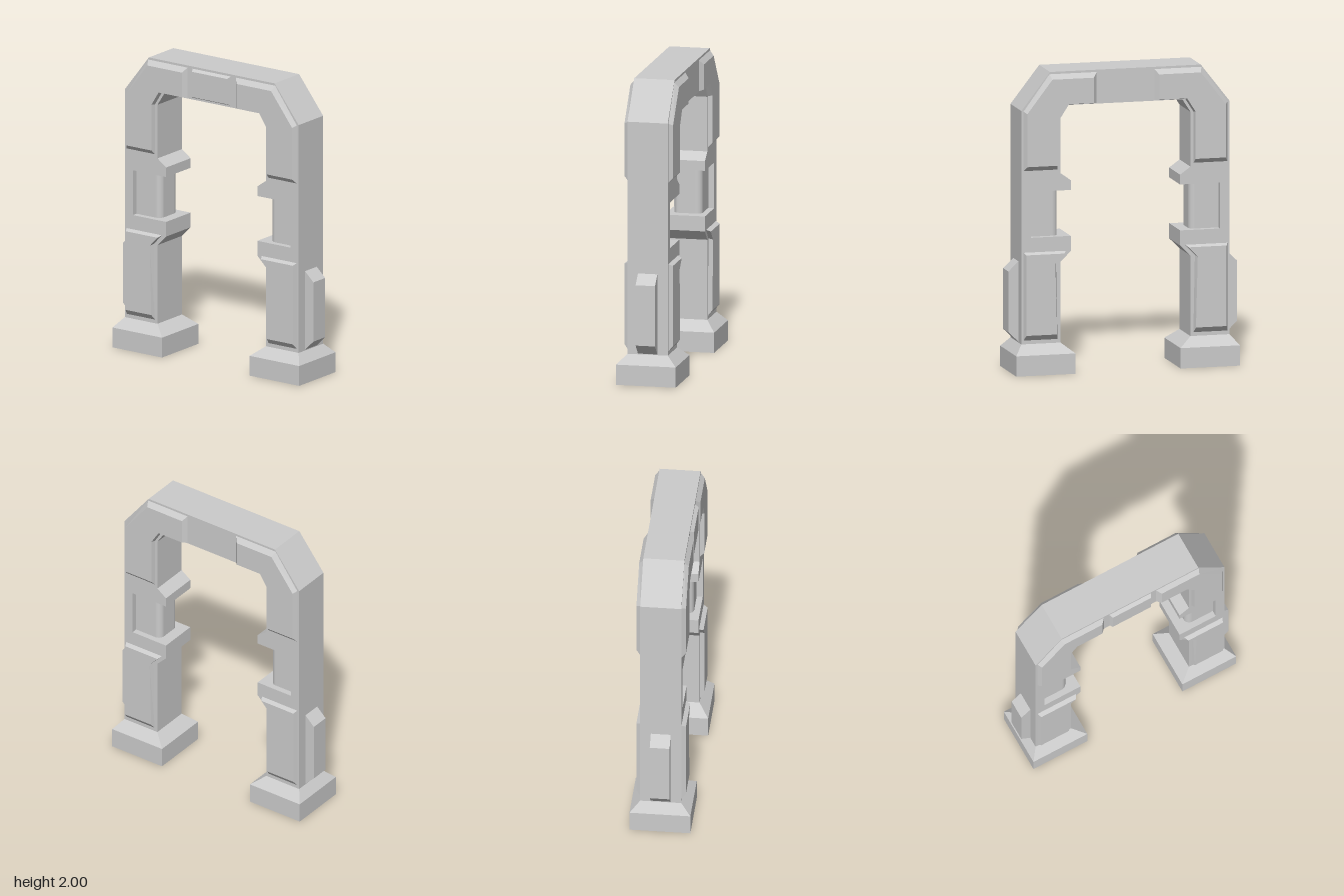
import * as THREE from 'three';

const material = new THREE.MeshStandardMaterial({ color: 0xcccccc, flatShading: true });
const smooth = new THREE.MeshStandardMaterial({ color: 0xcccccc });

// Solid between two matching outlines [x, y], at depths z0 and z1
function prism(outline0, outline1, z0, z1) {
  let a = outline0.map(p => new THREE.Vector2(...p));
  let b = outline1.map(p => new THREE.Vector2(...p));
  if (THREE.ShapeUtils.area(a) < 0) { a.reverse(); b.reverse(); }
  const n = a.length, pos = [], index = [];
  a.forEach(p => pos.push(p.x, p.y, z0));
  b.forEach(p => pos.push(p.x, p.y, z1));
  for (const [i, j, k] of THREE.ShapeUtils.triangulateShape(b, [])) {
    index.push(n + i, n + j, n + k, k, j, i);
  }
  for (let i = 0; i < n; i++) {
    const j = (i + 1) % n;
    index.push(i, j, n + j, i, n + j, n + i);
  }
  const indexed = new THREE.BufferGeometry();
  indexed.setAttribute('position', new THREE.Float32BufferAttribute(pos, 3));
  indexed.setIndex(index);
  const geometry = indexed.toNonIndexed();
  geometry.computeVertexNormals();
  return geometry;
}

const mirrorX = pts => pts.map(([x, y]) => [-x, y]);
const rect = (x0, y0, x1, y1) => [[x0, y0], [x1, y0], [x1, y1], [x0, y1]];

function add(parent, name, geometry, mat = material) {
  const mesh = new THREE.Mesh(geometry, mat);
  mesh.name = name;
  parent.add(mesh);
  return mesh;
}

const DEPTH = 0.135;  // half depth of the arch
const PANEL = 0.163;  // height of the raised panels

// Half outline of the arch, from the top down the outside and up the inside
const archHalf = [
  [0.51, 2], [0.705, 1.75], [0.705, 0.2], [0.44, 0.2], [0.44, 0.735],
  [0.37, 0.805], [0.37, 0.905], [0.64, 0.905], [0.64, 1.21], [0.37, 1.21],
  [0.37, 1.275], [0.44, 1.325], [0.44, 1.69], [0.385, 1.775],
];

// Raised panels: [name, outline at the base, outline of the face]
const panels = [
  ['cornerPanel',
    [[0.69, 1.35], [0.69, 1.745], [0.515, 1.985], [0.195, 1.985], [0.195, 1.778],
      [0.405, 1.778], [0.46, 1.69], [0.46, 1.35]],
    [[0.672, 1.38], [0.672, 1.732], [0.502, 1.953], [0.222, 1.953], [0.222, 1.785],
      [0.41, 1.785], [0.467, 1.695], [0.467, 1.38]]],
  ['legPanel',
    [[0.69, 0.225], [0.69, 0.808], [0.405, 0.808], [0.47, 0.738], [0.46, 0.225]],
    [[0.678, 0.26], [0.678, 0.795], [0.42, 0.795], [0.482, 0.73], [0.47, 0.26]]],
];

function createLeg() {
  const leg = new THREE.Group();

  // Block foot with sloped shoulders
  const block = rect(0.355, -0.2, 0.757, 0.2);
  add(leg, 'foot', prism(block, block, 0, 0.135).rotateX(-Math.PI / 2));
  add(leg, 'footShoulder',
    prism(block, rect(0.44, -DEPTH, 0.705, DEPTH), 0.135, 0.2).rotateX(-Math.PI / 2));

  // Recessed core in the notch, rounded towards the opening
  const core = new THREE.Shape();
  const r = 0.04, d = 0.095;
  core.moveTo(0.65, -d);
  core.lineTo(0.65, d);
  core.lineTo(0.445 + r, d);
  core.absarc(0.445 + r, d - r, r, Math.PI / 2, Math.PI, false);
  core.lineTo(0.445, -d + r);
  core.absarc(0.445 + r, -d + r, r, Math.PI, Math.PI * 1.5, false);
  const coreGeometry = new THREE.ExtrudeGeometry(core,
    { depth: 0.305, bevelEnabled: false, curveSegments: 6 });
  add(leg, 'notchCore', coreGeometry.rotateX(-Math.PI / 2).translate(0, 0.905, 0), smooth);

  // Fin on the outside
  const fin = [[0.7, 0.205], [0.705, 0.205], [0.773, 0.272], [0.773, 0.675], [0.705, 0.74], [0.7, 0.74]];
  add(leg, 'sideFin', prism(fin, fin, -0.065, 0.065));

  // Panels on both faces
  for (const [name, base, face] of panels) {
    add(leg, name + 'Front', prism(base, face, DEPTH, PANEL));
    add(leg, name + 'Back',
      prism(mirrorX(base), mirrorX(face), DEPTH, PANEL).rotateY(Math.PI));
  }
  return leg;
}

export function createModel() {
  const model = new THREE.Group();
  model.name = 'archway';

  const outline = [...archHalf, ...mirrorX(archHalf).reverse()];
  add(model, 'archFrame', prism(outline, outline, -DEPTH, DEPTH));

  // The legs are alike front and back, so a half turn makes the other side
  for (const [name, turn] of [['leftLeg', 0], ['rightLeg', Math.PI]]) {
    const leg = createLeg();
    leg.name = name;
    leg.rotation.y = turn;
    model.add(leg);
  }

  // Plate over the opening, on the front only
  add(model, 'centrePlate',
    prism(rect(-0.155, 1.788, 0.155, 1.985), rect(-0.142, 1.8, 0.142, 1.972), DEPTH, 0.16));

  return model;
}
